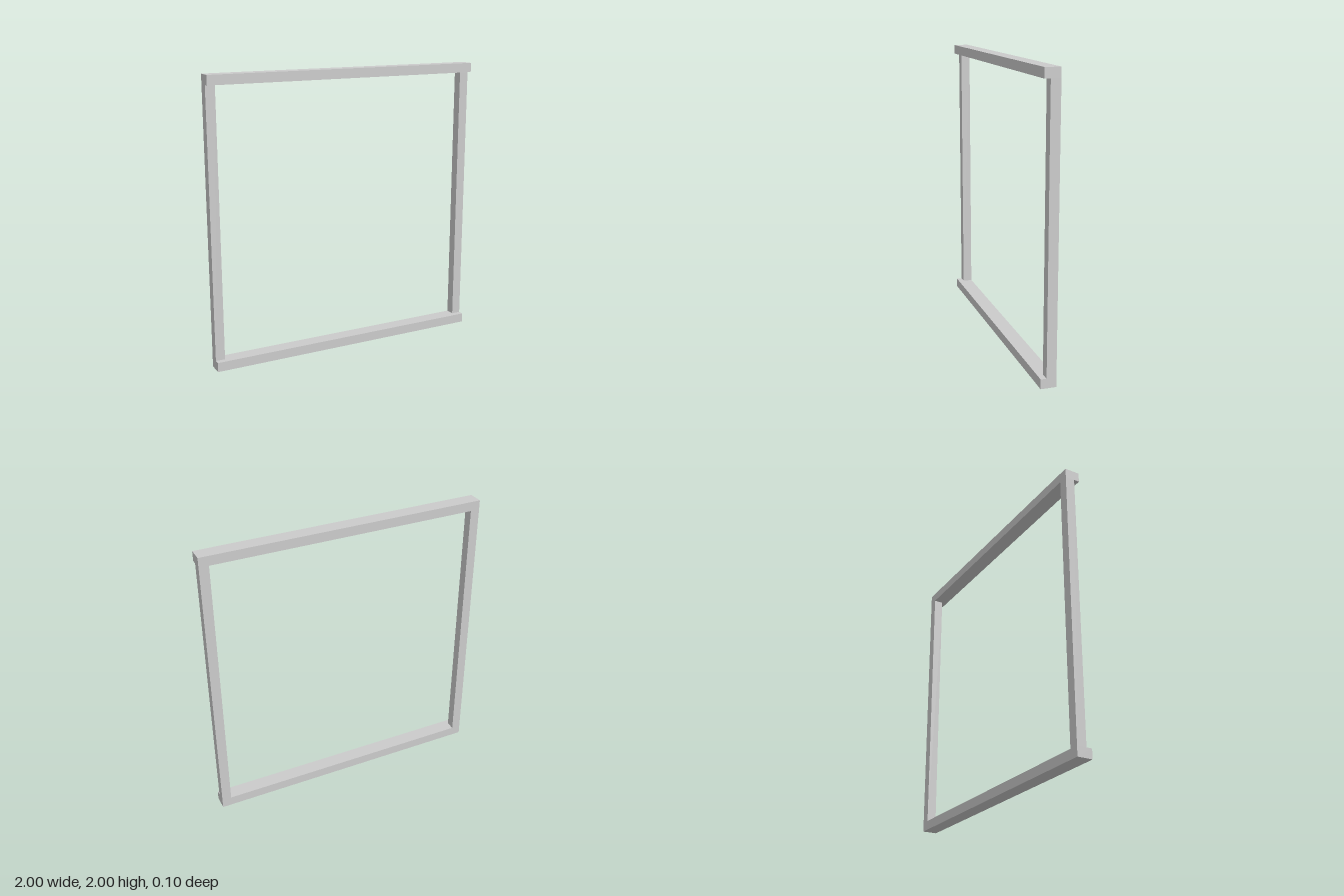
import * as THREE from 'three';

const SIZE = 2;       // outer width and height
const BAR = 0.066;    // bar thickness
const DEPTH = 0.105;  // full depth of the rails

export function createModel() {
  const group = new THREE.Group();
  const material = new THREE.MeshStandardMaterial({ color: 0xcccccc });

  const addBar = (name, w, h, d, x, y, z) => {
    const mesh = new THREE.Mesh(new THREE.BoxGeometry(w, h, d), material);
    mesh.name = name;
    mesh.position.set(x, y, z);
    group.add(mesh);
  };

  // Deep horizontal rails, reaching forward of the posts
  addBar('bottomRail', SIZE, BAR, DEPTH, 0, BAR / 2, 0);
  addBar('topRail', SIZE, BAR, DEPTH, 0, SIZE - BAR / 2, 0);

  // Upright posts between the rails, flush with the back
  const postX = (SIZE - BAR) / 2;
  const postZ = (BAR - DEPTH) / 2;
  for (const [name, side] of [['leftPost', 1], ['rightPost', -1]]) {
    addBar(name, BAR, SIZE - 2 * BAR, BAR, side * postX, SIZE / 2, postZ);
  }

  return group;
}
